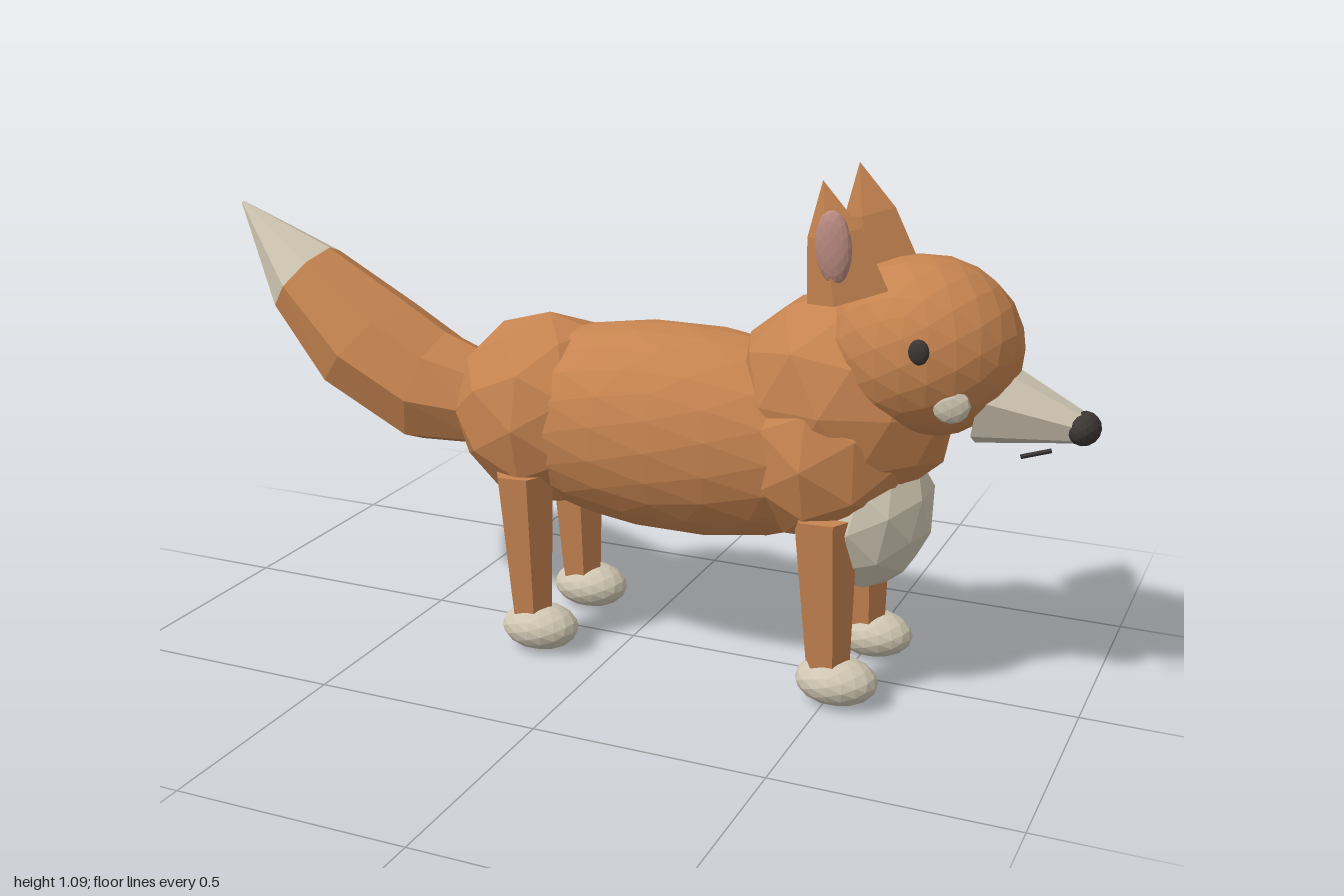
import * as THREE from 'three';

const paint = (name, color) => {
  const m = new THREE.MeshStandardMaterial({ color });
  m.name = name;
  return m;
};

// Faceted normals for the low-poly look
function facet(geometry) {
  const g = geometry.index ? geometry.toNonIndexed() : geometry;
  g.computeVertexNormals();
  return g;
}

// Tube through tilted rings [x, y, radius, tilt] lying in the z = 0 plane
function ringTube(rings, sides) {
  const pos = [], index = [];
  rings.forEach(([x, y, r, tilt], i) => {
    for (let j = 0; j < sides; j++) {
      const a = (j / sides) * Math.PI * 2;
      const up = r * Math.cos(a);
      pos.push(x + up * Math.sin(tilt), y + up * Math.cos(tilt), r * Math.sin(a));
      if (i === 0) continue;
      const k = (j + 1) % sides, p = (i - 1) * sides, q = i * sides;
      index.push(p + j, q + j, p + k, p + k, q + j, q + k);
    }
  });
  const g = new THREE.BufferGeometry();
  g.setAttribute('position', new THREE.Float32BufferAttribute(pos, 3));
  g.setIndex(index);
  return facet(g);
}

export function createModel() {
  const fox = new THREE.Group();
  fox.name = 'fox';

  const orange = paint('orange fur', 0xc68450);
  const cream = paint('cream fur', 0xcfc6b2);
  const pink = paint('inner ear pink', 0xb88a80);
  const dark = paint('dark', 0x3c3635);

  function add(name, geometry, material) {
    const mesh = new THREE.Mesh(geometry, material);
    mesh.name = name;
    fox.add(mesh);
    return mesh;
  }

  // Faceted ellipsoid
  function blob(name, material, detail, center, radii, tilt = 0) {
    const mesh = add(name, facet(new THREE.IcosahedronGeometry(1, detail)), material);
    mesh.position.set(...center);
    mesh.scale.set(...radii);
    mesh.rotation.z = tilt;
    return mesh;
  }

  // Tapered prism from one point to another, one corner towards +x or -y
  function prism(name, material, from, to, r0, r1, sides) {
    const a = new THREE.Vector3(...from), b = new THREE.Vector3(...to);
    const dir = b.clone().sub(a);
    const g = new THREE.CylinderGeometry(r1, r0, dir.length(), sides, 1, false, Math.PI / 2);
    const mesh = add(name, facet(g), material);
    mesh.position.copy(a).add(b).multiplyScalar(0.5);
    mesh.quaternion.setFromUnitVectors(new THREE.Vector3(0, 1, 0), dir.normalize());
    return mesh;
  }

  // Trunk
  blob('body', orange, 3, [0.11, 0.515, 0], [0.5, 0.23, 0.205]);
  blob('hips', orange, 1, [-0.2, 0.52, 0], [0.22, 0.22, 0.2]);
  blob('shoulders', orange, 1, [0.45, 0.52, 0], [0.2, 0.21, 0.205]);
  blob('neck', orange, 1, [0.48, 0.63, 0], [0.24, 0.22, 0.185], -0.5);
  blob('chestBib', cream, 1, [0.54, 0.385, 0], [0.135, 0.165, 0.16], -0.2);

  // Head and face
  blob('head', orange, 3, [0.64, 0.755, 0], [0.2, 0.185, 0.187]);
  prism('muzzle', cream, [0.77, 0.657, 0], [0.96, 0.622, 0], 0.094, 0.033, 7);
  blob('nose', dark, 2, [0.966, 0.622, 0], [0.034, 0.034, 0.047]);
  prism('mouth', dark, [0.864, 0.577, 0.088], [0.917, 0.588, 0.061], 0.005, 0.005, 5);
  blob('cheekPatch', cream, 1, [0.735, 0.678, 0.142], [0.038, 0.036, 0.016]).rotation.y = 0.25;

  // Four-sided ears leaning back
  const earProfile = [[0, 0], [0.085, 0], [0.056, 0.13], [0, 0.235]]
    .map(([r, y]) => new THREE.Vector2(r, y));
  const earShape = facet(new THREE.LatheGeometry(earProfile, 4));
  for (const [side, s] of [['left', -1], ['right', 1]]) {
    const ear = add(side + 'Ear', earShape, orange);
    ear.position.set(0.512, 0.867, s * 0.12);
    ear.rotation.z = 0.245;
    blob(side + 'Eye', dark, 2, [0.675, 0.788, s * 0.178], [0.021, 0.026, 0.011]);
  }
  blob('innerEar', pink, 2, [0.5, 0.978, 0.182], [0.037, 0.073, 0.018], 0.08);

  // Legs and paws
  for (const [end, x] of [['front', 0.485], ['back', -0.204]]) {
    for (const [side, s] of [['Left', -1], ['Right', 1]]) {
      prism(end + side + 'Leg', orange, [x + 0.015, 0.07, s * 0.128], [x, 0.41, s * 0.128], 0.047, 0.069, 6);
      blob(end + side + 'Paw', cream, 2, [x + 0.036, 0.054, s * 0.132], [0.088, 0.051, 0.069]);
    }
  }

  // Bushy tail with a pale tip
  const tailEnd = [-0.83, 0.758, 0.1, 0.7];
  add('tail', ringTube([
    [-0.33, 0.515, 0.1, 0],
    [-0.5, 0.535, 0.135, 0.26],
    [-0.665, 0.622, 0.14, 0.72],
    tailEnd,
  ], 8), orange);
  add('tailTip', ringTube([tailEnd, [-0.998, 0.923, 0.004, 0.78], [-1, 0.925, 0, 0.78]], 8), cream);

  return fox;
}
